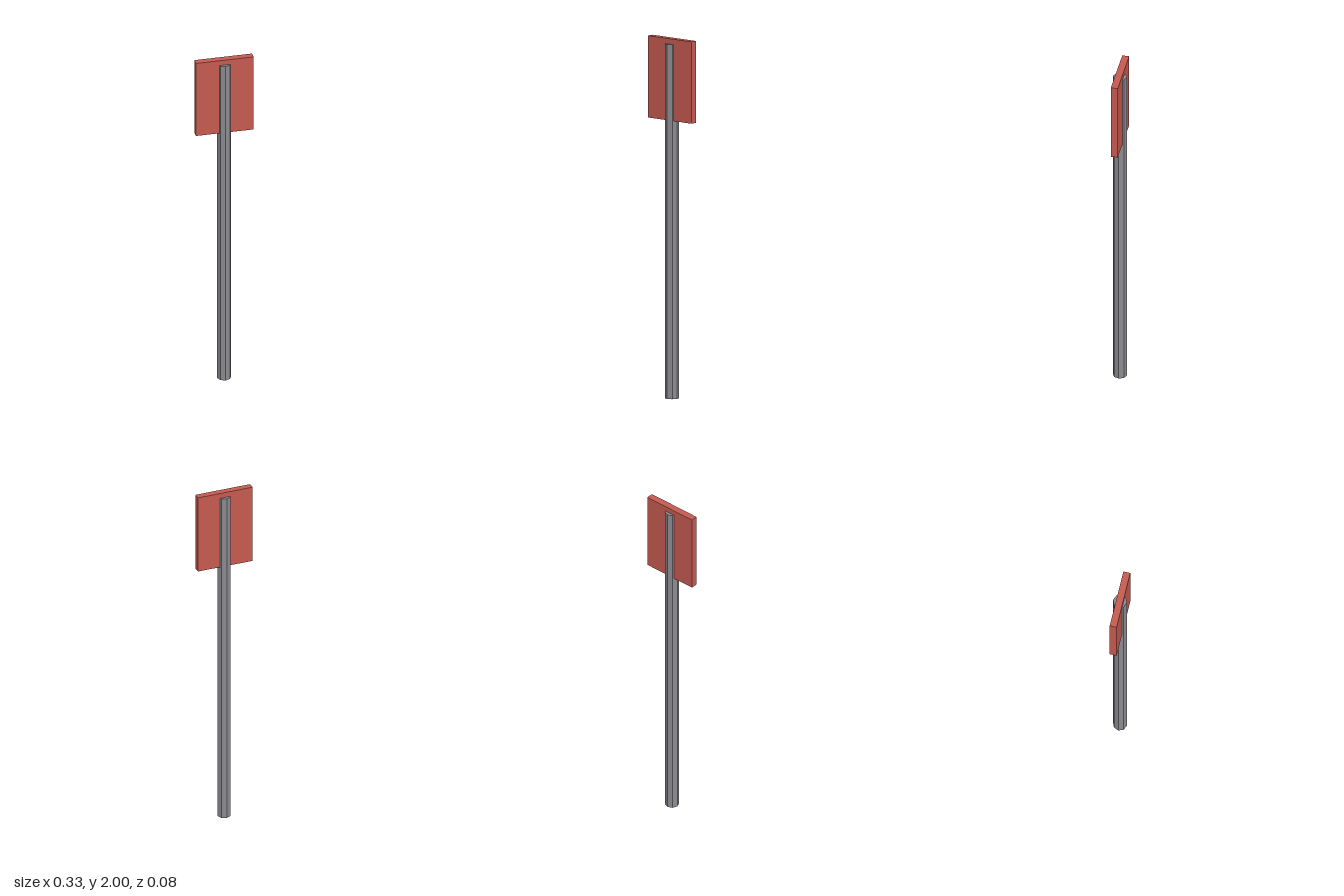
import * as THREE from 'three';

export function createModel() {
  const group = new THREE.Group();
  group.name = 'signPost';

  const signRed = new THREE.MeshStandardMaterial({ color: 0xc45a50 });
  signRed.name = 'sign red';
  const postGrey = new THREE.MeshStandardMaterial({ color: 0x8a8a90, flatShading: true });
  postGrey.name = 'post grey';

  // Octagonal post with its corners on the x and z axes
  const postHeight = 1.97;
  const post = new THREE.Mesh(new THREE.CylinderGeometry(0.039, 0.039, postHeight, 8), postGrey);
  post.name = 'post';
  post.position.y = postHeight / 2;
  group.add(post);

  // Flat panel that the post runs through
  const bottom = 1.545, top = 2;
  const panel = new THREE.Mesh(new THREE.BoxGeometry(0.326, top - bottom, 0.039), signRed);
  panel.name = 'signPanel';
  panel.position.y = (bottom + top) / 2;
  group.add(panel);

  return group;
}
